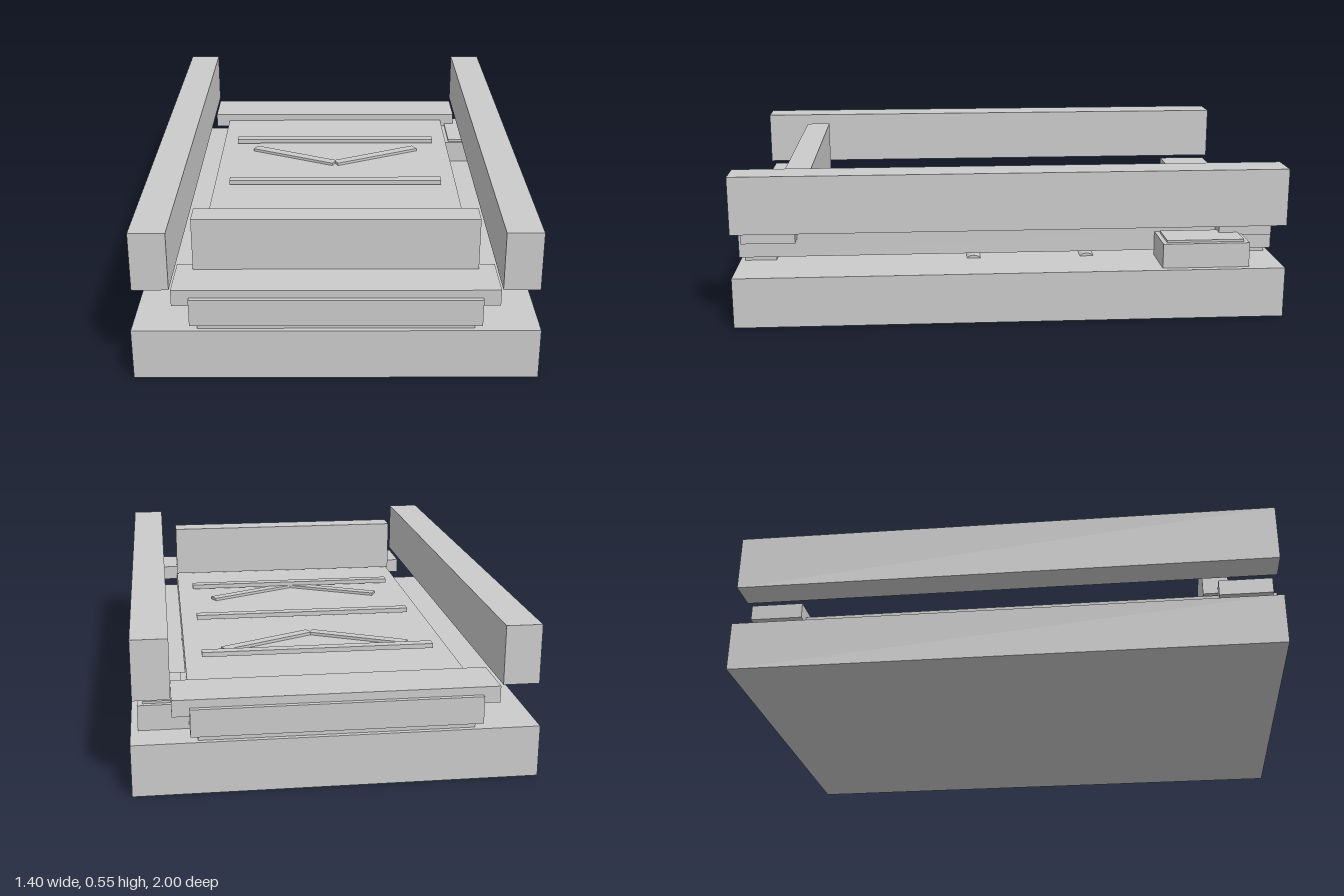
import * as THREE from 'three';

const material = new THREE.MeshStandardMaterial({ color: 0xcccccc, flatShading: true });

export function createModel() {
  const model = new THREE.Group();
  model.name = 'conveyorBed';

  // Box given by its limits on each axis
  const box = (name, [x0, x1], [y0, y1], [z0, z1]) => {
    const mesh = new THREE.Mesh(new THREE.BoxGeometry(x1 - x0, y1 - y0, z1 - z0), material);
    mesh.position.set((x0 + x1) / 2, (y0 + y1) / 2, (z0 + z1) / 2);
    mesh.name = name;
    model.add(mesh);
    return mesh;
  };

  // Base slab and belt bed
  box('base', [-0.7, 0.7], [0, 0.185], [-1, 1]);
  box('beltBed', [-0.5, 0.5], [0.204, 0.302], [-1, 1]);

  // Raised side rails
  box('leftRail', [0.562, 0.688], [0.342, 0.552], [-1, 1]);
  box('rightRail', [-0.688, -0.562], [0.342, 0.552], [-1, 1]);

  // End crossbars over the bed, with spacer pads beneath it
  for (const [end, s] of [['front', 1], ['back', -1]]) {
    const span = (a, b) => [Math.min(a * s, b * s), Math.max(a * s, b * s)];
    box(end + 'Crossbar', [-0.56, 0.56], [0.272, 0.331], span(0.785, 0.982));
    box(end + 'Pad', [-0.475, 0.475], [0.185, 0.205], span(0.865, 0.982));
  }

  // Upright gate near the front
  box('gate', [-0.5, 0.5], [0.312, 0.522], [0.73, 0.825]);

  // Cross slats on the belt
  for (const z of [-0.475, 0, 0.47]) {
    box('slat', [-0.437, 0.437], [0.311, 0.329], [z - 0.019, z + 0.019]);
  }

  // Chevrons: two angled bars each
  for (const z of [-0.315, 0.385]) {
    for (const s of [-1, 1]) {
      const arm = box('chevronArm', [-0.195, 0.195], [0.302, 0.313], [-0.02, 0.02]);
      arm.position.x = s * 0.178;
      arm.position.z = z;
      arm.rotation.y = s * 0.464;
    }
  }

  // Low rollers between base and bed
  for (const z of [0.13, -0.297]) {
    const roller = new THREE.Mesh(new THREE.CylinderGeometry(0.035, 0.035, 1, 24), material);
    roller.rotation.z = Math.PI / 2;
    roller.position.set(0, 0.161, z);
    roller.name = 'roller';
    model.add(roller);
  }

  // Drive housing on the left side, with a thin cover
  box('driveHousing', [0.5, 0.675], [0.185, 0.276], [-0.872, -0.553]);
  box('driveCover', [0.52, 0.655], [0.276, 0.284], [-0.855, -0.57]);

  return model;
}
